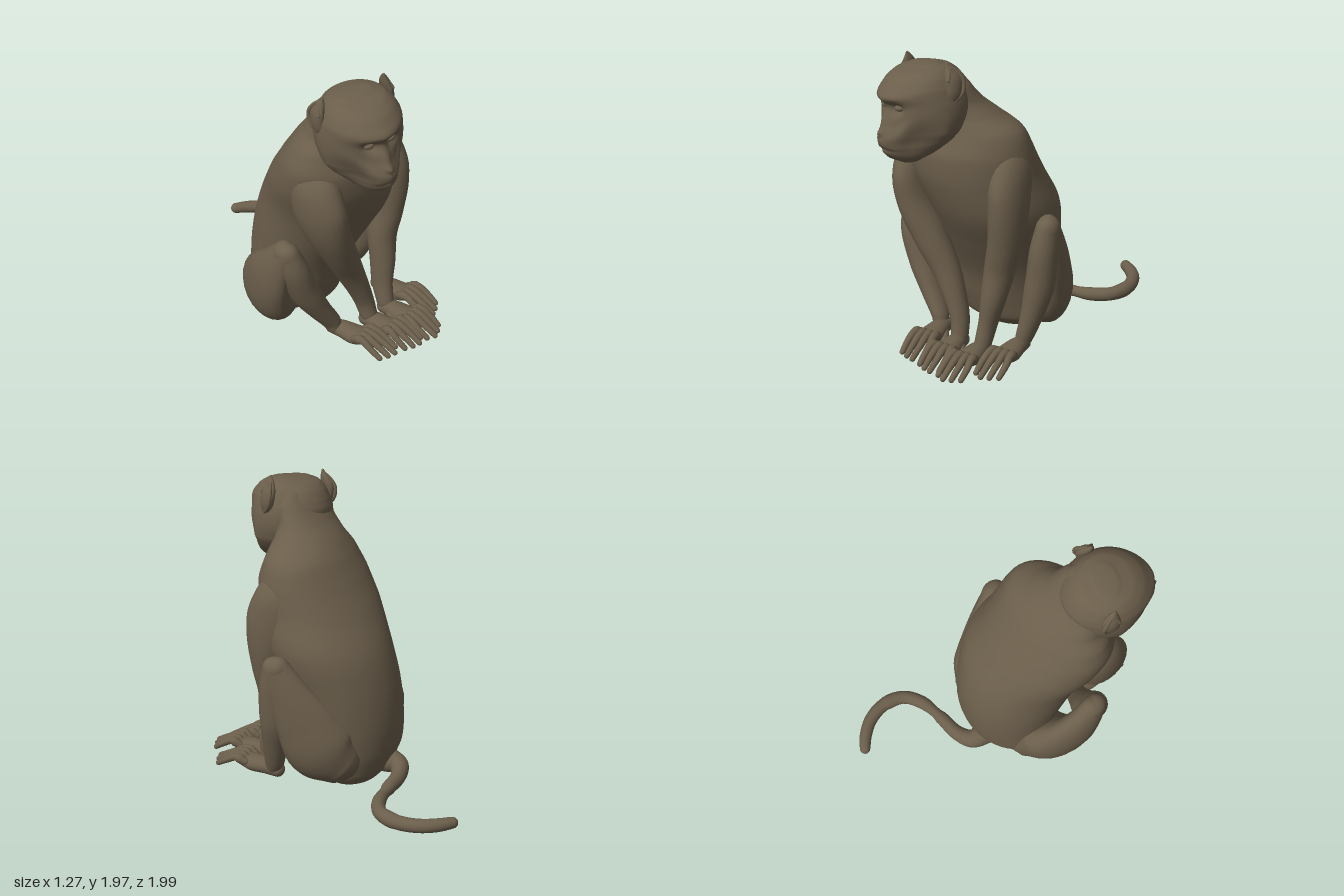
import * as THREE from 'three';

const fur = new THREE.MeshStandardMaterial({ color: 0x6b5e4b });
fur.name = 'brown fur';

const X = new THREE.Vector3(1, 0, 0);
const Y = new THREE.Vector3(0, 1, 0);
const Z = new THREE.Vector3(0, 0, 1);
const bump = (d, width) => Math.exp(-((d / width) ** 2));

// Smooth closed loft through [x, y, z, radiusA, radiusB] stations.
// side: direction of radiusA; up: fixed section normal; cap: end roundness.
function loft(name, pts, { side = X, up = null, cap = 1, steps = 6, sides = 24 } = {}) {
  const path = new THREE.CatmullRomCurve3(pts.map(p => new THREE.Vector3(p[0], p[1], p[2])));
  const radii = new THREE.CatmullRomCurve3(pts.map(p => new THREE.Vector3(p[3], p[4], 0)));
  const n = (pts.length - 1) * steps;
  const rings = [];
  const ring = (k, shift, scale) => {
    const t = up || path.getTangent(k), r = radii.getPoint(k);
    const c = path.getPoint(k).addScaledVector(t, shift * Math.min(r.x, r.y) * cap);
    const u = side.clone().addScaledVector(t, -side.dot(t)).normalize();
    rings.push({ c, u, v: t.clone().cross(u), a: r.x * scale, b: r.y * scale });
  };
  const capSteps = 5;
  for (let i = 0; i < capSteps; i++) {
    const f = (i / capSteps) * Math.PI / 2;
    ring(0, -Math.cos(f), Math.max(Math.sin(f), 0.01));
  }
  for (let i = 0; i <= n; i++) ring(i / n, 0, 1);
  for (let i = 1; i <= capSteps; i++) {
    const f = (i / capSteps) * Math.PI / 2;
    ring(1, Math.sin(f), Math.max(Math.cos(f), 0.01));
  }
  const pos = [], idx = [];
  rings.forEach(({ c, u, v, a, b }, i) => {
    for (let j = 0; j < sides; j++) {
      const th = (j / sides) * Math.PI * 2;
      const p = c.clone().addScaledVector(u, a * Math.cos(th)).addScaledVector(v, b * Math.sin(th));
      pos.push(p.x, p.y, p.z);
      if (i === rings.length - 1) continue;
      const k = (j + 1) % sides, r0 = i * sides, r1 = r0 + sides;
      idx.push(r0 + j, r0 + k, r1 + j, r0 + k, r1 + k, r1 + j);
    }
  });
  const geo = new THREE.BufferGeometry();
  geo.setAttribute('position', new THREE.Float32BufferAttribute(pos, 3));
  geo.setIndex(idx);
  geo.computeVertexNormals();
  const mesh = new THREE.Mesh(geo, fur);
  mesh.name = name;
  return mesh;
}

function ellipsoid(name, x, y, z, rx, ry, rz) {
  const mesh = new THREE.Mesh(new THREE.SphereGeometry(1, 24, 16), fur);
  mesh.position.set(x, y, z);
  mesh.scale.set(rx, ry, rz);
  mesh.name = name;
  return mesh;
}

// Hand or foot resting on the ground; thumb is +1 or -1 for its side
function paw(name, x, z, yaw, thumb, length) {
  const g = new THREE.Group();
  g.name = name;
  g.add(loft('palm', [
    [0, 0.07, -0.02, 0.05, 0.05], [0, 0.08, 0.06, 0.064, 0.056],
    [0, 0.08, 0.15, 0.08, 0.054], [0, 0.095, 0.22, 0.08, 0.036]], { cap: 0.8 }));
  for (let i = 0; i < 4; i++) {
    const k = i - 1.5, reach = 0.2 - Math.abs(k - 0.3 * thumb) * 0.028;
    g.add(loft('finger', [
      [k * 0.042, 0.1, 0.18, 0.025, 0.026], [k * 0.048, 0.122, 0.24, 0.025, 0.026],
      [k * 0.053, 0.09, 0.22 + reach * 0.55, 0.022, 0.022],
      [k * 0.052, 0.045, 0.22 + reach, 0.018, 0.018]], { sides: 14, steps: 5 }));
  }
  g.add(loft('thumb', [
    [thumb * 0.04, 0.07, 0.06, 0.028, 0.028], [thumb * 0.085, 0.055, 0.13, 0.025, 0.025],
    [thumb * 0.1, 0.035, 0.22, 0.018, 0.018]], { sides: 14, steps: 5 }));
  g.position.set(x, 0, z);
  g.rotation.y = yaw;
  g.scale.z = length;
  return g;
}

function buildHead() {
  const head = new THREE.Group();
  head.name = 'head';
  // Skull with muzzle: [height, back z, front z, half width]
  const profile = [
    [-0.305, 0.15, 0.28, 0.065], [-0.26, 0.05, 0.36, 0.145], [-0.19, -0.08, 0.415, 0.22],
    [-0.12, -0.16, 0.42, 0.26], [-0.04, -0.2, 0.38, 0.27], [0.04, -0.21, 0.35, 0.268],
    [0.1, -0.21, 0.35, 0.258], [0.15, -0.19, 0.35, 0.245], [0.21, -0.15, 0.3, 0.215],
    [0.25, -0.1, 0.23, 0.175], [0.27, -0.03, 0.14, 0.12]];
  const skull = loft('skull', profile.map(([y, b, f, w]) => [0, y, (b + f) / 2, w, (f - b) / 2]),
    { up: Y, cap: 0.12, sides: 96 });
  // Sculpt the face: narrow muzzle, brow, eye sockets, nose and mouth line
  const p = skull.geometry.attributes.position;
  for (let i = 0; i < p.count; i++) {
    const x = p.getX(i), y = p.getY(i), z = p.getZ(i), ax = Math.abs(x);
    const front = THREE.MathUtils.smoothstep(z, 0.08, 0.31);
    const push = 0.028 * bump(y - 0.118, 0.032) * bump(ax, 0.18)
      - 0.034 * bump(ax - 0.072, 0.045) * bump(y - 0.052, 0.034)
      - 0.02 * bump(ax - 0.12, 0.05) * bump(y + 0.03, 0.06)
      + 0.024 * bump(x, 0.03) * bump(y + 0.01, 0.08)
      + 0.02 * bump(x, 0.04) * bump(y + 0.09, 0.025)
      - 0.018 * bump(ax - 0.02, 0.012) * bump(y + 0.11, 0.012)
      - 0.018 * bump(y + 0.19 + ax * 0.15, 0.013) * bump(x, 0.11);
    p.setX(i, x * (1 - 0.42 * front * bump(y + 0.16, 0.13)));
    p.setZ(i, z + push * front);
  }
  skull.geometry.computeVertexNormals();
  head.add(skull);
  for (const s of [-1, 1]) {
    head.add(ellipsoid('eye', s * 0.072, 0.055, 0.3, 0.036, 0.022, 0.032));
    // Upright pointed ear with a raised rim
    head.add(loft('ear', [
      [s * 0.225, 0.05, 0.03, 0.04, 0.03], [s * 0.242, 0.12, 0.02, 0.055, 0.036],
      [s * 0.24, 0.19, 0.015, 0.06, 0.034], [s * 0.222, 0.25, 0.025, 0.038, 0.024],
      [s * 0.212, 0.295, 0.035, 0.01, 0.009]], { side: Z, sides: 20 }));
    head.add(loft('earRim', [
      [s * 0.25, 0.05, 0.04, 0.012, 0.012], [s * 0.266, 0.12, -0.03, 0.014, 0.014],
      [s * 0.264, 0.2, -0.035, 0.013, 0.013], [s * 0.23, 0.265, 0.022, 0.012, 0.012],
      [s * 0.257, 0.2, 0.062, 0.01, 0.01]], { sides: 12 }));
  }
  head.position.set(-0.208, 1.65, 0.5);
  head.rotation.set(0.02, -0.4, 0.09, 'YXZ');
  return head;
}

export function createModel() {
  const model = new THREE.Group();
  model.name = 'sitting monkey';

  // Torso and neck: [height, back z, front z, centre x, half width]
  const torso = [
    [0.03, -0.22, 0.12, 0.02, 0.22], [0.1, -0.28, 0.2, 0.0, 0.32], [0.25, -0.335, 0.25, -0.02, 0.36],
    [0.45, -0.35, 0.31, -0.01, 0.37], [0.7, -0.325, 0.44, 0.0, 0.395], [0.95, -0.25, 0.57, 0.0, 0.425],
    [1.18, -0.125, 0.635, -0.06, 0.435], [1.36, -0.01, 0.64, -0.085, 0.43], [1.5, 0.085, 0.59, -0.09, 0.385],
    [1.59, 0.16, 0.57, -0.125, 0.29], [1.68, 0.25, 0.57, -0.17, 0.24], [1.79, 0.335, 0.6, -0.21, 0.225],
    [1.87, 0.395, 0.56, -0.22, 0.175]];
  model.add(loft('torso', torso.map(([y, b, f, x, w]) => [x, y, (b + f) / 2, w, (f - b) / 2]),
    { up: Y, cap: 0.15, sides: 48 }));

  model.add(buildHead());

  // Arms
  model.add(loft('leftArm', [
    [0.18, 1.38, 0.34, 0.1, 0.12], [0.24, 1.27, 0.37, 0.125, 0.17], [0.265, 1.12, 0.41, 0.12, 0.19],
    [0.27, 0.97, 0.44, 0.115, 0.165], [0.255, 0.78, 0.46, 0.105, 0.12], [0.22, 0.6, 0.46, 0.1, 0.098],
    [0.19, 0.4, 0.49, 0.08, 0.087], [0.165, 0.24, 0.51, 0.06, 0.075], [0.15, 0.11, 0.55, 0.055, 0.06]]));
  model.add(loft('rightArm', [
    [-0.35, 1.37, 0.35, 0.1, 0.12], [-0.41, 1.26, 0.38, 0.125, 0.17], [-0.425, 1.11, 0.42, 0.12, 0.19],
    [-0.39, 0.95, 0.45, 0.115, 0.16], [-0.29, 0.75, 0.47, 0.11, 0.12], [-0.17, 0.53, 0.47, 0.092, 0.095],
    [-0.09, 0.35, 0.49, 0.072, 0.08], [-0.045, 0.22, 0.51, 0.06, 0.07], [-0.03, 0.11, 0.54, 0.055, 0.06]]));
  model.add(paw('leftHand', 0.145, 0.56, -0.02, -1, 1));
  model.add(paw('rightHand', -0.03, 0.53, -0.02, 1, 0.97));

  // Folded legs, thighs splayed outward toward the knees
  model.add(loft('leftThigh', [
    [0.25, 0.25, -0.03, 0.19, 0.2], [0.345, 0.33, 0.02, 0.155, 0.24], [0.415, 0.51, 0.095, 0.105, 0.2],
    [0.45, 0.7, 0.185, 0.083, 0.14], [0.465, 0.88, 0.28, 0.073, 0.09]],
    { side: new THREE.Vector3(0.93, 0, -0.36) }));
  model.add(loft('rightThigh', [
    [-0.28, 0.26, -0.03, 0.2, 0.2], [-0.41, 0.34, 0.01, 0.165, 0.24], [-0.51, 0.5, 0.085, 0.11, 0.2],
    [-0.545, 0.65, 0.17, 0.083, 0.14], [-0.55, 0.79, 0.255, 0.07, 0.09]],
    { side: new THREE.Vector3(0.93, 0, 0.36) }));
  model.add(loft('leftShin', [
    [0.465, 0.88, 0.28, 0.075, 0.09], [0.45, 0.72, 0.305, 0.09, 0.1], [0.43, 0.5, 0.31, 0.095, 0.105],
    [0.395, 0.3, 0.34, 0.075, 0.085], [0.36, 0.15, 0.37, 0.058, 0.07], [0.345, 0.09, 0.39, 0.05, 0.055]]));
  model.add(loft('rightShin', [
    [-0.55, 0.79, 0.255, 0.072, 0.09], [-0.515, 0.65, 0.295, 0.092, 0.1], [-0.44, 0.45, 0.315, 0.092, 0.105],
    [-0.345, 0.27, 0.36, 0.072, 0.085], [-0.265, 0.14, 0.4, 0.058, 0.07], [-0.25, 0.09, 0.42, 0.05, 0.055]]));
  model.add(paw('leftFoot', 0.335, 0.38, -0.02, -1, 1.1));
  model.add(paw('rightFoot', -0.23, 0.41, 0.03, 1, 1.08));

  // Tail curling along the ground
  model.add(loft('tail', [
    [-0.05, 0.13, -0.25, 0.09, 0.09], [-0.025, 0.12, -0.36, 0.065, 0.065], [0.08, 0.1, -0.41, 0.052, 0.052],
    [0.25, 0.09, -0.42, 0.046, 0.046], [0.42, 0.085, -0.445, 0.046, 0.046], [0.54, 0.085, -0.52, 0.046, 0.046],
    [0.59, 0.085, -0.66, 0.046, 0.046], [0.565, 0.085, -0.8, 0.045, 0.045], [0.5, 0.085, -0.9, 0.043, 0.043],
    [0.43, 0.085, -0.965, 0.037, 0.037]], { side: Y, sides: 20 }));

  return model;
}
